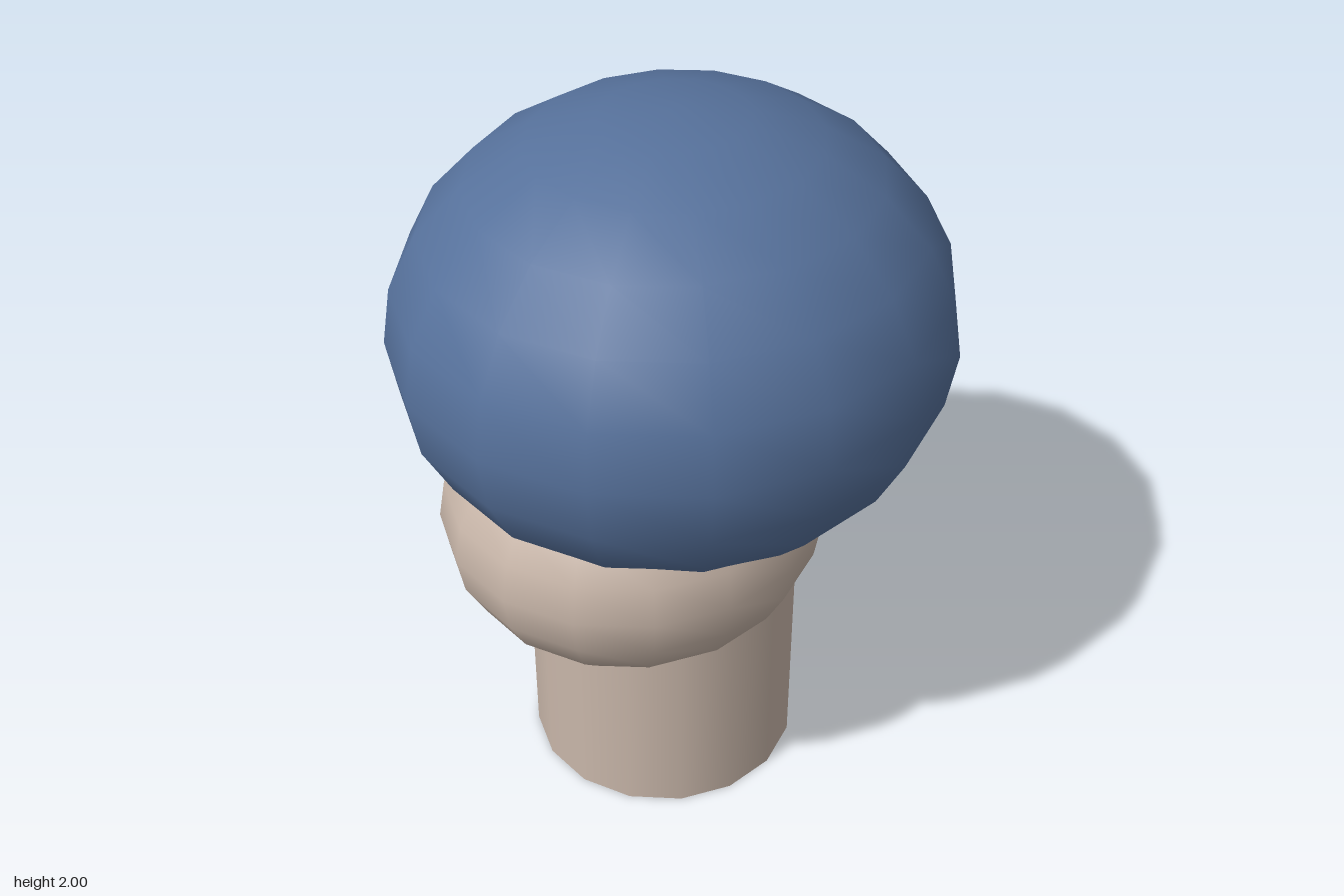
import * as THREE from 'three';

export function createModel() {
  const group = new THREE.Group();

  const blue = new THREE.MeshStandardMaterial({ color: 0x56719b });
  blue.name = 'slate blue';
  const skin = new THREE.MeshStandardMaterial({ color: 0xc8b6a9 });
  skin.name = 'warm beige';

  const add = (name, geometry, material, x, y, z) => {
    const mesh = new THREE.Mesh(geometry, material);
    mesh.name = name;
    mesh.position.set(x, y, z);
    group.add(mesh);
  };

  // Smooth low-poly ellipsoid with its radii baked into the geometry
  const ellipsoid = (rx, ry, rz) =>
    new THREE.SphereGeometry(1, 16, 12).scale(rx, ry, rz);

  // Large rounded skull
  add('cranium', ellipsoid(0.745, 0.61, 0.773), blue, 0, 1.39, 0);

  // Face and jaw, pushed forward under the skull
  add('jaw', ellipsoid(0.517, 0.407, 0.535), skin, 0, 0.907, 0.185);

  // Neck, capped at both ends
  add('neck', new THREE.CylinderGeometry(0.385, 0.385, 0.75, 16), skin, 0, 0.375, 0.055);

  return group;
}
